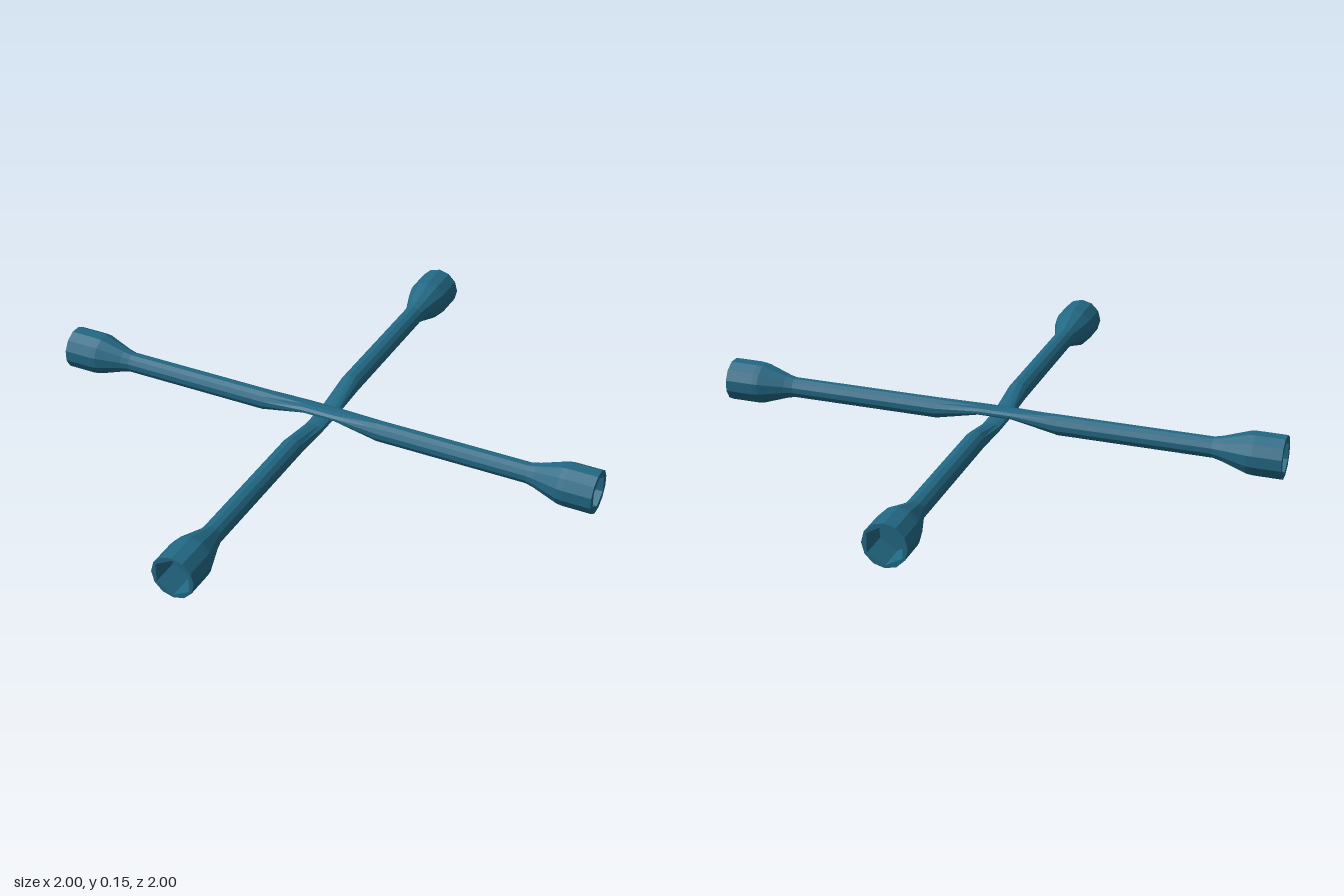
import * as THREE from 'three';

const SIDES = 12;

// Cross-section ring in the plane across x; hex rings carry a point on every corner and edge middle
function ring({ x, ry, rz = ry, y = 0, phase = 0, hex = false }) {
  return Array.from({ length: SIDES }, (_, i) => {
    const a = phase + (i / SIDES) * Math.PI * 2;
    const k = hex && i % 2 ? Math.cos(Math.PI / 6) : 1;
    return [x, y + Math.cos(a) * ry * k, Math.sin(a) * rz * k];
  });
}

// Skin a list of rings, ordered along +x on the outside
function loft(stations, material, name) {
  const rings = stations.map(ring);
  const index = [];
  for (let s = 0; s < rings.length - 1; s++) {
    for (let i = 0; i < SIDES; i++) {
      const j = (i + 1) % SIDES;
      const a = s * SIDES + i, b = s * SIDES + j;
      index.push(a, b, a + SIDES, b, b + SIDES, a + SIDES);
    }
  }
  const geometry = new THREE.BufferGeometry();
  geometry.setAttribute('position', new THREE.Float32BufferAttribute(rings.flat(2), 3));
  geometry.setIndex(index);
  const flat = geometry.toNonIndexed();
  flat.computeVertexNormals();
  const mesh = new THREE.Mesh(flat, material);
  mesh.name = name;
  return mesh;
}

// One bar along x: round shaft flattened at the crossing, with a hex socket at each end
function makeBar(name, phase, hole, material) {
  const bar = new THREE.Group();
  bar.name = name;

  const shaft = [
    [-0.76, 0.036, 0], [-0.22, 0.036, 0], [-0.06, 0.016, 0.018],
    [0.06, 0.016, 0.018], [0.22, 0.036, 0], [0.76, 0.036, 0],
  ].map(([x, ry, y]) => ({ x, ry, rz: 0.036, y, phase }));
  bar.add(loft(shaft, material, 'shaft'));

  const socket = [
    { x: 0.76, ry: 0.036, phase },
    { x: 0.79, ry: 0.043, phase },
    { x: 0.88, ry: 0.073, phase },
    { x: 0.9, ry: 0.075, phase },
    { x: 1, ry: 0.075, phase },
    { x: 1, ry: hole, hex: true },
    { x: 0.9, ry: hole, hex: true },
    { x: 0.9, ry: 0 },
  ];
  for (const turn of [0, Math.PI]) {
    const end = loft(socket, material, 'socket');
    end.rotation.y = turn;
    bar.add(end);
  }
  return bar;
}

export function createModel() {
  const model = new THREE.Group();
  model.name = 'crossWrench';
  const steel = new THREE.MeshStandardMaterial({ color: 0x226884, flatShading: true });
  steel.name = 'blue steel';

  // Upper bar runs left to right
  const upper = makeBar('upperBar', Math.PI / SIDES, 0.056, steel);
  upper.position.y = 0.075;
  // Lower bar is turned over and runs front to back
  const lower = makeBar('lowerBar', 0, 0.066, steel);
  lower.rotation.set(Math.PI, Math.PI / 2, 0);
  lower.position.y = 0.075;

  model.add(upper, lower);
  return model;
}
